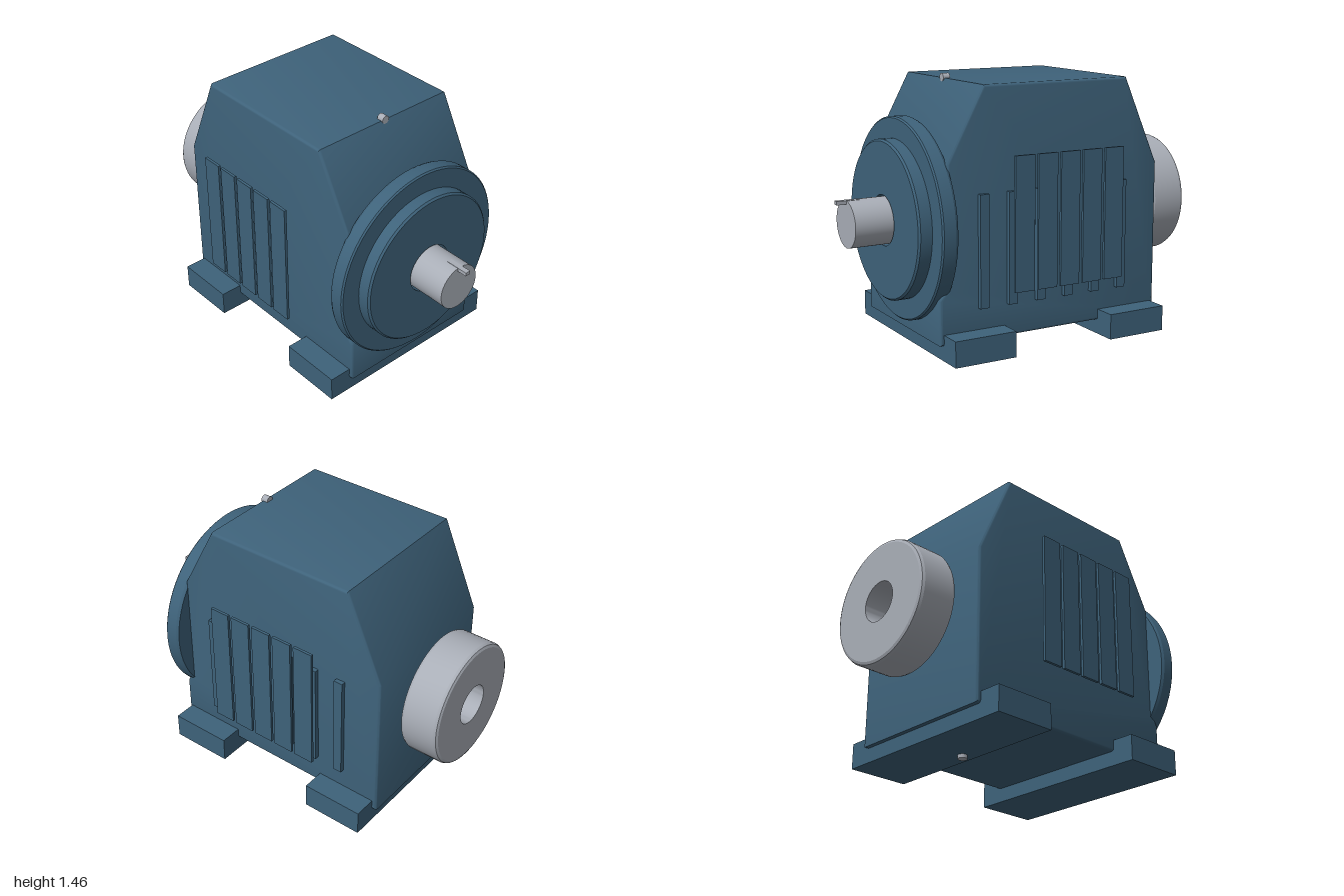
import * as THREE from 'three';
import { toCreasedNormals } from 'three/addons/utils/BufferGeometryUtils.js';

const AXIS_Y = 0.695;

export function createModel() {
  const model = new THREE.Group();
  model.name = 'gearbox';
  const blue = new THREE.MeshStandardMaterial({ color: 0x3e627a });
  blue.name = 'blue paint';
  const steel = new THREE.MeshStandardMaterial({ color: 0xa9aeb7 });
  steel.name = 'bare steel';

  const add = (name, geometry, material, x = 0, y = 0, z = 0) => {
    const mesh = new THREE.Mesh(geometry, material);
    mesh.name = name;
    mesh.position.set(x, y, z);
    model.add(mesh);
    return mesh;
  };
  // box given by its limits on each axis
  const box = (name, material, [x0, x1], [y0, y1], [z0, z1]) =>
    add(name, new THREE.BoxGeometry(x1 - x0, y1 - y0, z1 - z0), material,
      (x0 + x1) / 2, (y0 + y1) / 2, (z0 + z1) / 2);
  // part turned about the shaft axis, profile as [radius, x]
  const turned = (name, material, profile) => {
    const points = profile.map(([r, x]) => new THREE.Vector2(r, x));
    const geometry = new THREE.LatheGeometry(points, 72).rotateZ(-Math.PI / 2);
    return add(name, toCreasedNormals(geometry, 0.4), material, 0, AXIS_Y, 0);
  };

  // housing: side profile with sloped shoulders and a stepped lower front
  const outline = [[-0.72, 0.1], [0.625, 0.1], [0.625, 0.34], [0.61, 0.37], [0.58, 0.39],
    [0.58, 1.04], [0.37, 1.43], [-0.51, 1.43], [-0.72, 0.95]];
  const shape = new THREE.Shape(outline.map(([x, y]) => new THREE.Vector2(x, y)));
  const bevel = 0.015;
  const housing = new THREE.ExtrudeGeometry(shape, {
    depth: 0.88 - 2 * bevel, bevelEnabled: true, bevelSize: bevel,
    bevelThickness: bevel, bevelOffset: -bevel, bevelSegments: 3,
  });
  housing.translate(0, 0, -0.44 + bevel);
  add('housing', toCreasedNormals(housing, 0.6), blue);

  // mounting feet running across the underside
  box('rearFoot', blue, [-0.695, -0.345], [0.02, 0.16], [-0.565, 0.565]);
  box('frontFoot', blue, [0.25, 0.605], [0.02, 0.16], [-0.565, 0.565]);

  // side cover slats standing off both flanks
  for (const side of [1, -1]) {
    for (let i = 0; i < 5; i++) {
      const x = -0.34 + i * 0.137;
      const z = side * 0.5745;
      box('sideSlat', blue, [x - 0.058, x + 0.058], [0.37, 1.08], [z - 0.0075, z + 0.0075]);
    }
  }

  // cooling ribs on the back flank
  for (let i = 0; i < 6; i++) {
    const x = -0.477 + i * 0.171;
    box('coolingRib', blue, [x - 0.026, x + 0.026], [0.275, 0.875], [-0.465, -0.43]);
  }

  // output flange with recessed bore
  turned('outputFlange', blue, [[0.1, 0.57], [0.537, 0.57], [0.545, 0.585], [0.545, 0.652],
    [0.537, 0.66], [0.1, 0.66]]);
  turned('flangeCover', blue, [[0.137, 0.655], [0.43, 0.655], [0.43, 0.725], [0.42, 0.735],
    [0.137, 0.735], [0.137, 0.655]]);

  // output shaft and key
  turned('outputShaft', steel, [[0, 0.6], [0.127, 0.6], [0.127, 0.945], [0, 0.945]]);
  box('shaftKey', steel, [0.87, 1], [0.803, 0.823], [-0.015, 0.015]);

  // bored input hub
  turned('inputHub', steel, [[0.11, -1], [0.32, -1], [0.334, -0.994], [0.34, -0.98],
    [0.34, -0.8], [0.334, -0.786], [0.32, -0.78], [0.11, -0.78], [0.11, -1]]);

  // breather plug on the top edge and drain plug below
  const breather = new THREE.CylinderGeometry(0.022, 0.022, 0.04, 24).rotateZ(Math.PI / 2);
  add('breatherPlug', breather, steel, 0.36, 1.433, 0);
  add('drainPlug', new THREE.CylinderGeometry(0.026, 0.026, 0.04, 24), steel, -0.417, 0.02, 0);

  return model;
}
